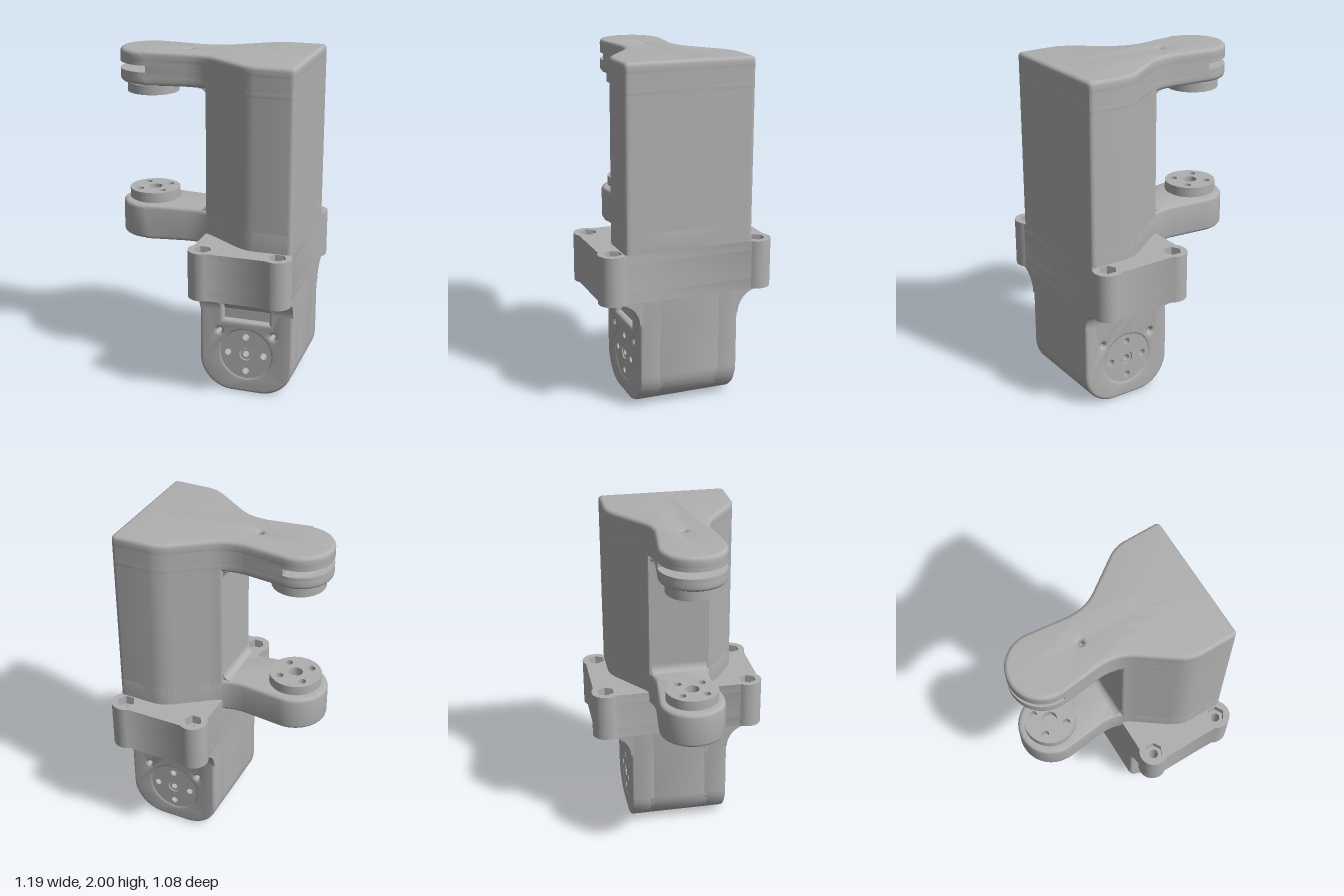
import * as THREE from 'three';
import { toCreasedNormals } from 'three/addons/utils/BufferGeometryUtils.js';

const grey = new THREE.MeshStandardMaterial({ color: 0xb0b0b0 });
grey.name = 'plain grey';
const BEVEL = 0.022;
const COLUMN_X = -0.285;   // flat inner face of the column
const TIP_X = -0.668;      // axis of the two pivot hubs

// Extrusion spanning z0..z1, with the outline kept as the widest section
function prism(shape, z0, z1, bevel = 0) {
  const g = new THREE.ExtrudeGeometry(shape, {
    depth: z1 - z0 - 2 * bevel, curveSegments: 20, bevelEnabled: bevel > 0,
    bevelSize: bevel, bevelThickness: bevel, bevelOffset: -bevel, bevelSegments: 4,
  });
  return g.translate(0, 0, z0 + bevel);
}

// Plan outline (x, z) raised from y0 to y1
const slab = (shape, y0, y1, bevel = 0) => prism(shape, -y1, -y0, bevel).rotateX(Math.PI / 2);

function hole(x, y, r, sides = 0) {
  const p = new THREE.Path();
  if (!sides) return p.absarc(x, y, r, 0, Math.PI * 2, true);
  return p.setFromPoints(Array.from({ length: sides }, (_, i) => {
    const a = -i * 2 * Math.PI / sides;
    return new THREE.Vector2(x + r * Math.cos(a), y + r * Math.sin(a));
  }));
}

function disc(r, holes) {
  const s = new THREE.Shape().absarc(0, 0, r, 0, Math.PI * 2);
  s.holes.push(...holes);
  return s;
}

function rect(x0, y0, x1, y1, Type = THREE.Shape) {
  return new Type().setFromPoints([[x0, y0], [x1, y0], [x1, y1], [x0, y1]]
    .map(([x, y]) => new THREE.Vector2(x, y)));
}

// Paddle outline: wide body, narrow waist, round tip
function paddle() {
  const s = new THREE.Shape();
  s.moveTo(0.285, 0);
  s.lineTo(0.285, 0.355);
  s.quadraticCurveTo(0.285, 0.383, 0.257, 0.383);
  s.lineTo(0.06, 0.383);
  s.quadraticCurveTo(0, 0.38, -0.06, 0.335);
  s.lineTo(-0.22, 0.22);
  s.bezierCurveTo(-0.29, 0.17, -0.34, 0.163, -0.41, 0.163);
  s.lineTo(-0.642, 0.188);
  const a = 82 * Math.PI / 180;
  s.absarc(TIP_X, 0, 0.19, a, 2 * Math.PI - a);
  s.lineTo(-0.41, -0.163);
  s.bezierCurveTo(-0.34, -0.163, -0.29, -0.17, -0.22, -0.22);
  s.lineTo(-0.06, -0.335);
  s.quadraticCurveTo(0, -0.38, 0.06, -0.383);
  s.lineTo(0.257, -0.383);
  s.quadraticCurveTo(0.285, -0.383, 0.285, -0.355);
  return s;
}

// Paddle with everything left of x = c removed
function cutPaddle(c, halfWidth) {
  const p = paddle().getPoints(20).filter((q) => q.x > c);
  return new THREE.Shape([
    ...p.filter((q) => q.y >= 0),
    new THREE.Vector2(c, halfWidth), new THREE.Vector2(c, -halfWidth),
    ...p.filter((q) => q.y < 0),
  ]);
}

// Flange outline with four round lugs
function flangeShape(holeRadius, sides) {
  const s = new THREE.Shape();
  const deg = Math.PI / 180;
  const lug = (x, z, a, b) => s.absarc(x, z, 0.085, a * deg, b * deg);
  lug(0.22, 0.437, -40, 125);
  lug(-0.22, 0.437, 55, 220);
  lug(-0.22, -0.437, 140, 305);
  lug(0.22, -0.437, 235, 400);
  for (const x of [-0.22, 0.22]) for (const z of [-0.437, 0.437]) s.holes.push(hole(x, z, holeRadius, sides));
  return s;
}

// Lower housing section (x, y) with rounded bottom, optionally notched for the vent plate
function housing(notched) {
  const s = new THREE.Shape();
  s.moveTo(0.285, 0.8);
  s.lineTo(-0.285, 0.8);
  s.lineTo(-0.285, 0.2);
  s.absarc(-0.085, 0.2, 0.2, Math.PI, Math.PI * 1.5);
  if (notched) {
    s.lineTo(-0.085, 0.05);
    s.lineTo(0.085, 0.05);
  }
  s.absarc(0.085, 0.2, 0.2, Math.PI * 1.5, Math.PI * 2);
  return s;
}

export function createModel() {
  const model = new THREE.Group();
  model.name = 'servoBracket';
  const body = new THREE.Group();
  body.name = 'bracketBody';
  body.position.set(0.256, 0, -0.003);
  body.rotation.y = -0.079;
  model.add(body);
  const add = (name, geometry) => {
    const m = new THREE.Mesh(toCreasedNormals(geometry, 0.6), grey);
    m.name = name;
    body.add(m);
    return m;
  };

  // Upper arm with a slot through its tip and two countersunk holes
  const top = paddle();
  top.holes.push(hole(-0.432, 0, 0.014), hole(0.16, 0, 0.014));
  add('upperArmTop', slab(top, 1.92, 2, BEVEL));
  add('upperArmSlotRoof', slab(paddle(), 1.92, 1.945));
  add('upperArmSlotBlock', slab(cutPaddle(-0.645, 0.188), 1.87, 1.925));
  add('upperArmBottom', slab(paddle(), 1.805, 1.88, BEVEL));
  add('upperArmSlotFloor', slab(paddle(), 1.84, 1.88));

  // Column and lower arm
  add('column', slab(cutPaddle(COLUMN_X, 0.178), 0.7, 1.945));
  add('lowerArm', slab(paddle(), 0.87, 1.078, BEVEL));
  for (const [y, d] of [[1.806, -0.05], [1.077, 0.05]]) {
    const f = new THREE.Shape();
    f.moveTo(COLUMN_X + 0.01, y);
    f.lineTo(COLUMN_X + 0.01, y + d);
    f.lineTo(COLUMN_X, y + d);
    f.quadraticCurveTo(COLUMN_X, y, COLUMN_X - 0.05, y);
    add('armFillet', prism(f, -0.165, 0.165));
  }

  // Pivot hubs facing each other
  const hubHoles = [hole(0, 0, 0.042)];
  for (let i = 0; i < 4; i++) {
    const a = Math.PI / 4 + i * Math.PI / 2;
    hubHoles.push(hole(0.1 * Math.cos(a), 0.1 * Math.sin(a), 0.022));
  }
  for (const [y0, y1, n0, n1] of [[1.74, 1.795, 1.79, 1.81], [1.087, 1.145, 1.07, 1.09]]) {
    add('pivotHub', slab(disc(0.152, hubHoles), y0, y1)).position.x = TIP_X;
    add('pivotHubNeck', slab(disc(0.135, []), n0, n1)).position.x = TIP_X;
  }

  // Flange: counterbore, bolt hole and hex nut pocket
  add('flangeBottom', slab(flangeShape(0.042, 0), 0.657, 0.72));
  add('flangeMiddle', slab(flangeShape(0.027, 0), 0.72, 0.89));
  add('flangeTop', slab(flangeShape(0.052, 6), 0.89, 0.943));

  // Lower housing: core, front and back plates
  add('housingCore', prism(housing(true), -0.2, 0.2, 0.02));
  const hornY = 0.25;
  const hornHoles = [0, 1, 2, 3].map((i) =>
    hole(0.11 * Math.cos(i * Math.PI / 2), 0.11 * Math.sin(i * Math.PI / 2), 0.021));
  for (const side of [1, -1]) {
    const plate = housing(false);
    plate.holes.push(hole(0, hornY, 0.15), hole(-0.165, 0.385, 0.014), hole(0.165, 0.385, 0.014));
    if (side > 0) plate.holes.push(rect(-0.14, 0.46, 0.14, 0.6, THREE.Path));
    const turn = side > 0 ? 0 : Math.PI;
    add('housingPlate', prism(plate, 0.14, 0.3, 0.02).rotateY(turn));
    add('servoHorn', prism(disc(0.157, [hole(0, 0, 0.04), ...hornHoles]), 0.19, 0.295)
      .translate(0, hornY, 0).rotateY(turn));
    add('hornScrew', prism(disc(0.036, [hole(0, 0, 0.02)]), 0.19, 0.29)
      .translate(0, hornY, 0).rotateY(turn));

    // Curved flare under the flange, open in the middle at the front
    const flare = new THREE.Shape();
    flare.moveTo(0.28, 0.52);
    flare.lineTo(0.3, 0.52);
    flare.absarc(0.44, 0.52, 0.14, Math.PI, Math.PI * 0.57, true);
    flare.lineTo(0.41, 0.665);
    flare.lineTo(0.28, 0.665);
    const spans = side > 0 ? [[-0.285, -0.16], [0.16, 0.285]] : [[-0.285, 0.285]];
    for (const [x0, x1] of spans) {
      add('flangeFlare', prism(flare, x0, x1).rotateY(-Math.PI / 2 * side));
    }
  }

  // Cable opening at the front
  add('openingLintel', new THREE.BoxGeometry(0.34, 0.04, 0.11).translate(0, 0.64, 0.35));
  const clip = new THREE.Shape([[0.19, 0.44], [0.26, 0.44], [0.26, 0.52], [0.305, 0.57], [0.305, 0.625], [0.19, 0.625]]
    .map(([z, y]) => new THREE.Vector2(z, y)));
  add('openingClip', prism(clip, -0.145, 0.145).rotateY(-Math.PI / 2));

  // Perforated vent plate in the underside
  const vents = rect(-0.085, -0.18, 0.085, 0.18);
  for (let r = 0; r < 5; r++) for (const x of [-0.055, 0, 0.055]) {
    vents.holes.push(hole(x, (r - 2) * 0.06 + (x === 0 ? 0.015 : -0.015), 0.014));
  }
  add('ventPlate', slab(vents, 0, 0.055));

  return model;
}
